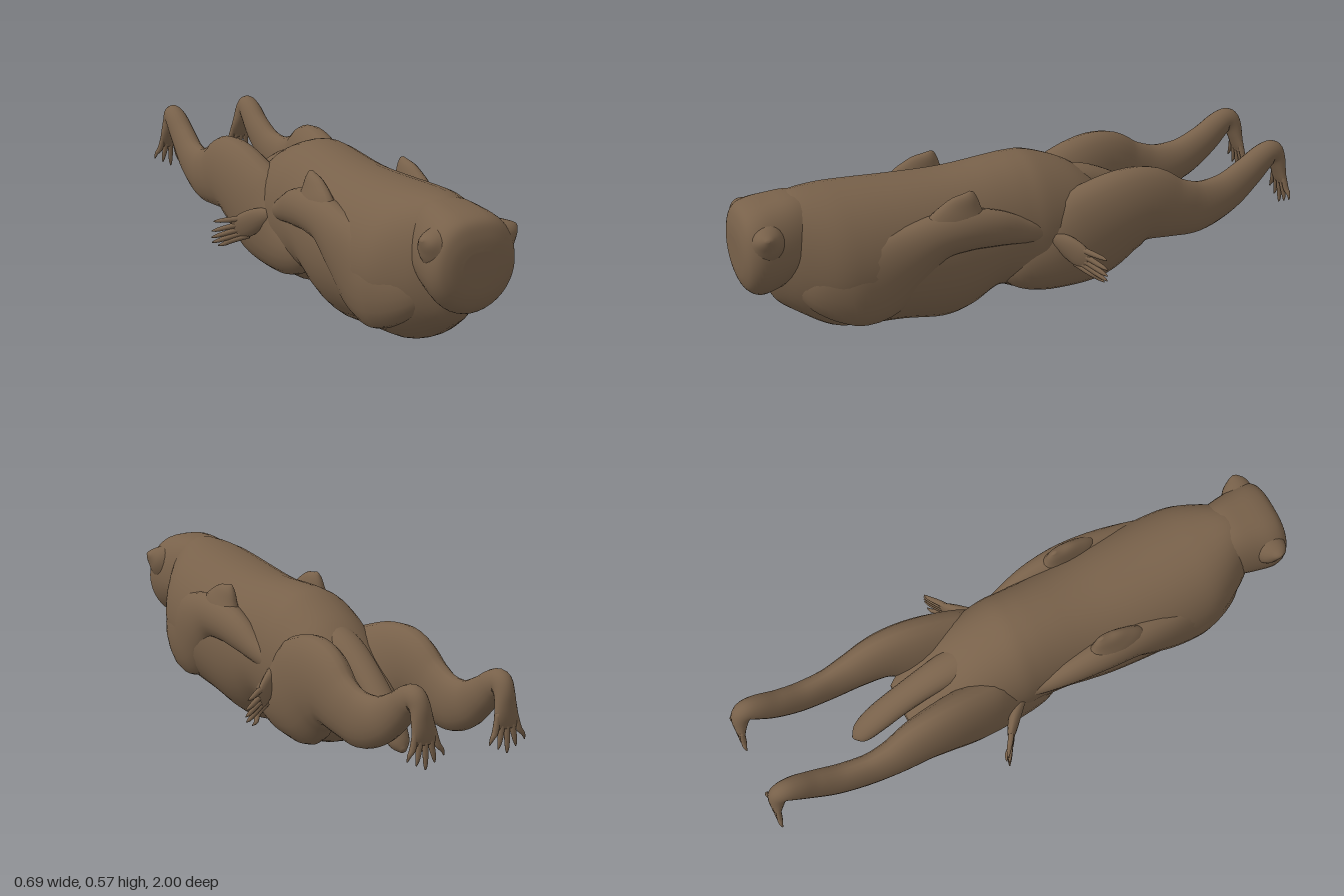
import * as THREE from 'three';

const V = (x, y, z) => new THREE.Vector3(x, y, z);

// Smoothly resample rows of numbers (Catmull-Rom on every column)
function resample(rows, sub) {
  const out = [];
  const at = i => rows[Math.max(0, Math.min(rows.length - 1, i))];
  for (let i = 0; i < rows.length - 1; i++) {
    for (let k = 0; k < sub; k++) {
      const t = k / sub;
      out.push(rows[i].map((p1, c) => {
        const p0 = at(i - 1)[c], p2 = at(i + 1)[c], p3 = at(i + 2)[c];
        return 0.5 * (2 * p1 + (p2 - p0) * t + (2 * p0 - 5 * p1 + 4 * p2 - p3) * t * t
          + (3 * p1 - p0 - 3 * p2 + p3) * t * t * t);
      }));
    }
  }
  out.push(rows[rows.length - 1]);
  return out;
}

// Skin a list of rings, closing both ends
function skin(rings) {
  const n = rings[0].length, pos = [], idx = [];
  const centre = r => r.reduce((s, p) => s.add(p), V(0, 0, 0)).divideScalar(n);
  rings.forEach(r => r.forEach(p => pos.push(p.x, p.y, p.z)));
  for (let i = 0; i < rings.length - 1; i++) {
    for (let j = 0; j < n; j++) {
      const k = (j + 1) % n, a = i * n + j, b = (i + 1) * n + j, c = i * n + k, d = (i + 1) * n + k;
      idx.push(a, b, c, c, b, d);
    }
  }
  const first = rings.length * n, last = (rings.length - 1) * n;
  [centre(rings[0]), centre(rings[rings.length - 1])].forEach(p => pos.push(p.x, p.y, p.z));
  for (let j = 0; j < n; j++) {
    const k = (j + 1) % n;
    idx.push(first, j, k, first + 1, last + k, last + j);
  }
  const g = new THREE.BufferGeometry();
  g.setAttribute('position', new THREE.Float32BufferAttribute(pos, 3));
  g.setIndex(idx);
  g.computeVertexNormals();
  return g;
}

// Trunk sections, front to back: [z, top, bottom, half width, height of widest point, keel]
// crown and keel shape the upper and lower halves: below 1 is boxy, above 1 is pointed
function trunk(rows, crown) {
  return skin(resample(rows, 5).map(([z, top, bot, w, mid, keel]) => {
    const ring = [];
    for (let j = 0; j < 40; j++) {
      const a = j / 40 * Math.PI * 2, c = Math.cos(a), s = Math.sin(a);
      const x = Math.sign(c) * Math.pow(Math.abs(c), s < 0 ? keel : crown) * w;
      ring.push(V(x, mid + s * (s > 0 ? top - mid : mid - bot), z));
    }
    return ring;
  }));
}

// Limb sections: [x, y, z, radius along ref, radius across]; side mirrors it
function limb(rows, side = 1, ref = V(1, 0, 0), n = 20, sub = 5) {
  const pts = resample(rows.map(([x, ...r]) => [x * side, ...r]), sub);
  const P = pts.map(p => V(p[0], p[1], p[2]));
  return skin(pts.map((p, i) => {
    const t = P[Math.min(i + 1, P.length - 1)].clone().sub(P[Math.max(i - 1, 0)]).normalize();
    const u = ref.clone().addScaledVector(t, -ref.dot(t)).normalize();
    const v = u.clone().cross(t);
    return Array.from({ length: n }, (_, j) => {
      const a = j / n * Math.PI * 2;
      return P[i].clone().addScaledVector(u, Math.cos(a) * p[3]).addScaledVector(v, Math.sin(a) * p[4]);
    });
  }));
}

export function createModel() {
  const fur = new THREE.MeshStandardMaterial({ color: 0x78614a });
  fur.name = 'brown fur';
  const model = new THREE.Group();
  model.name = 'swimmingAnimal';
  const add = (name, geometry) => {
    const m = new THREE.Mesh(geometry, fur);
    m.name = name;
    model.add(m);
  };

  // Long body with full chest, keeled belly and low pelvis
  add('body', trunk([
    [0.91, 0.50, 0.27, 0.05, 0.38, 1],
    [0.87, 0.545, 0.19, 0.09, 0.37, 1],
    [0.80, 0.572, 0.135, 0.148, 0.34, 0.95],
    [0.70, 0.573, 0.075, 0.205, 0.32, 0.92],
    [0.60, 0.566, 0.056, 0.222, 0.31, 0.95],
    [0.45, 0.554, 0.037, 0.222, 0.30, 1.05],
    [0.30, 0.546, 0.003, 0.213, 0.29, 1.2],
    [0.20, 0.548, 0.024, 0.203, 0.29, 1.15],
    [0.10, 0.556, 0.09, 0.195, 0.30, 1],
    [0.01, 0.56, 0.058, 0.192, 0.31, 1],
    [-0.07, 0.55, 0.036, 0.192, 0.31, 1],
    [-0.20, 0.495, 0.06, 0.17, 0.30, 0.85],
    [-0.30, 0.42, 0.10, 0.145, 0.27, 0.8],
    [-0.39, 0.35, 0.175, 0.12, 0.27, 0.8],
    [-0.45, 0.30, 0.235, 0.08, 0.27, 0.8]], 0.95));

  // Blunt head with a broad flat crown and rounded chin
  add('head', trunk([
    [1.00, 0.45, 0.34, 0.06, 0.40, 1],
    [0.994, 0.495, 0.30, 0.105, 0.40, 1],
    [0.975, 0.538, 0.26, 0.138, 0.40, 1],
    [0.935, 0.558, 0.236, 0.152, 0.40, 1],
    [0.87, 0.567, 0.25, 0.143, 0.40, 1],
    [0.80, 0.570, 0.29, 0.13, 0.40, 1],
    [0.72, 0.555, 0.32, 0.11, 0.40, 1]], 0.72));

  // Tail drooping between the hind legs
  add('tail', limb([
    [0, 0.43, -0.14, 0.07, 0.06], [0, 0.41, -0.28, 0.058, 0.05], [0, 0.34, -0.42, 0.05, 0.045],
    [0, 0.25, -0.54, 0.048, 0.04], [0, 0.185, -0.605, 0.038, 0.03], [0, 0.16, -0.635, 0.01, 0.01]]));

  for (const [s, label] of [[1, 'left'], [-1, 'right']]) {
    // Pointed ears blending out of the corners of the head
    add(label + 'Ear', limb([
      [0.07, 0.45, 0.915, 0.10, 0.075], [0.115, 0.468, 0.92, 0.068, 0.06],
      [0.145, 0.484, 0.927, 0.037, 0.041], [0.162, 0.493, 0.93, 0.017, 0.022],
      [0.17, 0.497, 0.932, 0.004, 0.006]], s, V(0, 1, 0), 20));

    // Front leg folded back along the flank, its wrist tucked into the side
    add(label + 'Arm', limb([
      [0.08, 0.30, 0.80, 0.04, 0.07], [0.118, 0.285, 0.735, 0.062, 0.12], [0.147, 0.275, 0.65, 0.07, 0.155],
      [0.157, 0.275, 0.57, 0.068, 0.16], [0.173, 0.335, 0.47, 0.062, 0.125], [0.181, 0.392, 0.36, 0.058, 0.085],
      [0.183, 0.402, 0.25, 0.057, 0.075], [0.184, 0.385, 0.14, 0.046, 0.064], [0.174, 0.35, 0.04, 0.036, 0.045],
      [0.158, 0.32, -0.04, 0.028, 0.034], [0.15, 0.30, -0.09, 0.016, 0.02]], s));
    // Ridged elbow leaning in over the back
    add(label + 'Elbow', limb([
      [0.185, 0.38, 0.28, 0.052, 0.15], [0.183, 0.435, 0.27, 0.043, 0.125],
      [0.179, 0.48, 0.255, 0.031, 0.08], [0.176, 0.515, 0.237, 0.019, 0.036],
      [0.174, 0.536, 0.228, 0.005, 0.008]], s));

    // Spread front paw
    add(label + 'Palm', limb([
      [0.17, 0.30, -0.075, 0.026, 0.024], [0.215, 0.272, -0.115, 0.042, 0.021],
      [0.248, 0.247, -0.142, 0.044, 0.016], [0.272, 0.234, -0.16, 0.032, 0.008]], s, V(0, 1, 0), 16));
    [[0.335, 0.262], [0.343, 0.228], [0.344, 0.205], [0.342, 0.186], [0.32, 0.171]].forEach(([x, y], i) => {
      const y0 = 0.278 - i * 0.016;
      add(label + 'Finger' + (i + 1), limb([
        [0.23, y0, -0.132, 0.011, 0.011], [0.28, y0 * 0.55 + y * 0.45, -0.163, 0.01, 0.01],
        [x - 0.02, y * 0.85 + y0 * 0.15, -0.188, 0.0075, 0.0075], [x, y, -0.198, 0.002, 0.002]],
        s, V(0, 1, 0), 10, 4));
    });

    // Hind leg from haunch to foot, trailing behind
    add(label + 'HindLeg', limb([
      [0.10, 0.21, 0.09, 0.03, 0.04], [0.11, 0.20, 0.03, 0.07, 0.10], [0.115, 0.215, -0.08, 0.088, 0.147],
      [0.133, 0.265, -0.21, 0.09, 0.185], [0.152, 0.33, -0.33, 0.082, 0.165], [0.165, 0.35, -0.43, 0.07, 0.143],
      [0.172, 0.318, -0.54, 0.056, 0.11], [0.17, 0.302, -0.64, 0.046, 0.097], [0.163, 0.328, -0.75, 0.045, 0.078],
      [0.157, 0.385, -0.84, 0.043, 0.062], [0.157, 0.435, -0.90, 0.04, 0.05], [0.157, 0.452, -0.937, 0.035, 0.042],
      [0.154, 0.43, -0.96, 0.033, 0.034], [0.152, 0.385, -0.974, 0.039, 0.024], [0.15, 0.345, -0.983, 0.045, 0.015],
      [0.15, 0.32, -0.987, 0.04, 0.007]], s));
    for (let i = 0; i < 5; i++) {
      const f = i - 2, tip = 0.24 + Math.abs(f) * 0.018;
      add(label + 'Toe' + (i + 1), limb([
        [0.15 + f * 0.015, 0.37, -0.98, 0.01, 0.01], [0.15 + f * 0.022, 0.315, -0.987, 0.01, 0.01],
        [0.15 + f * 0.029, tip + 0.02, -0.991, 0.007, 0.007], [0.15 + f * 0.033, tip, -0.99, 0.002, 0.002]],
        s, V(1, 0, 0), 10, 4));
    }
  }
  return model;
}
